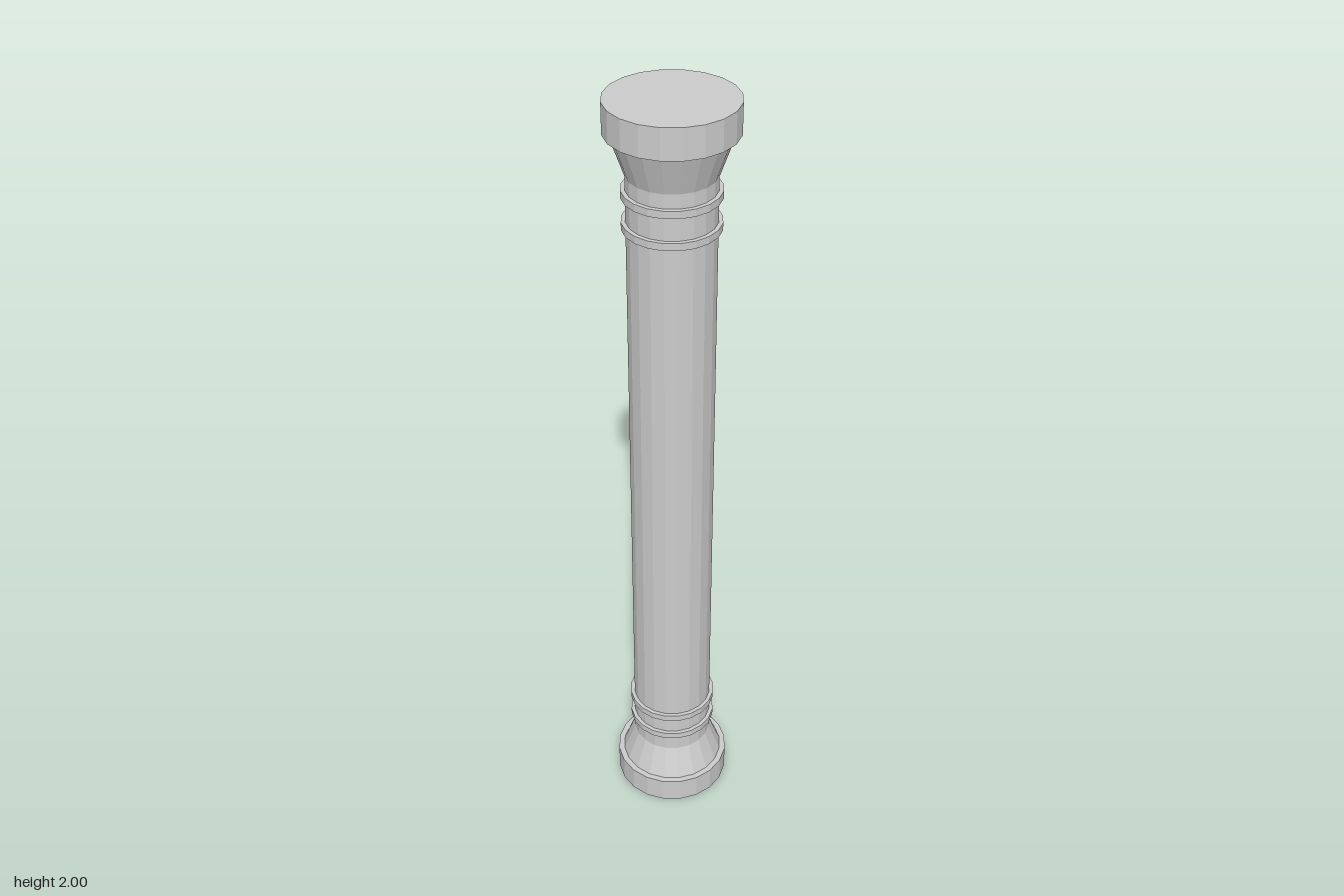
import * as THREE from 'three';

const SIDES = 20;
const SHAFT_RADIUS = 0.103;
const RING_RADIUS = 0.113;

export function createModel() {
  const column = new THREE.Group();
  column.name = 'column';
  const material = new THREE.MeshStandardMaterial({ color: 0xcccccc, flatShading: true });

  // Turned part from [radius, height] pairs, listed from bottom to top
  function turned(name, profile) {
    const points = profile.map(([r, y]) => new THREE.Vector2(r, y));
    const mesh = new THREE.Mesh(new THREE.LatheGeometry(points, SIDES), material);
    mesh.name = name;
    column.add(mesh);
  }

  // Round plinth with its flare up to the shaft
  turned('base', [[0, 0], [0.15, 0], [0.15, 0.07], [0.135, 0.07], [SHAFT_RADIUS, 0.155]]);

  // Long plain shaft
  turned('shaft', [[SHAFT_RADIUS, 0.155], [SHAFT_RADIUS, 1.83]]);

  // Capital: flare out to the round top block
  turned('capital', [[SHAFT_RADIUS, 1.83], [0.137, 1.927], [0.15, 1.927], [0.15, 2], [0, 2]]);

  // Two thin raised rings near each end
  const rings = [
    ['lowerRing1', 0.213], ['lowerRing2', 0.28],
    ['upperRing1', 1.711], ['upperRing2', 1.787],
  ];
  for (const [name, y] of rings) {
    const h = 0.009;
    turned(name, [[SHAFT_RADIUS, y - h], [RING_RADIUS, y - h], [RING_RADIUS, y + h], [SHAFT_RADIUS, y + h]]);
  }

  return column;
}
